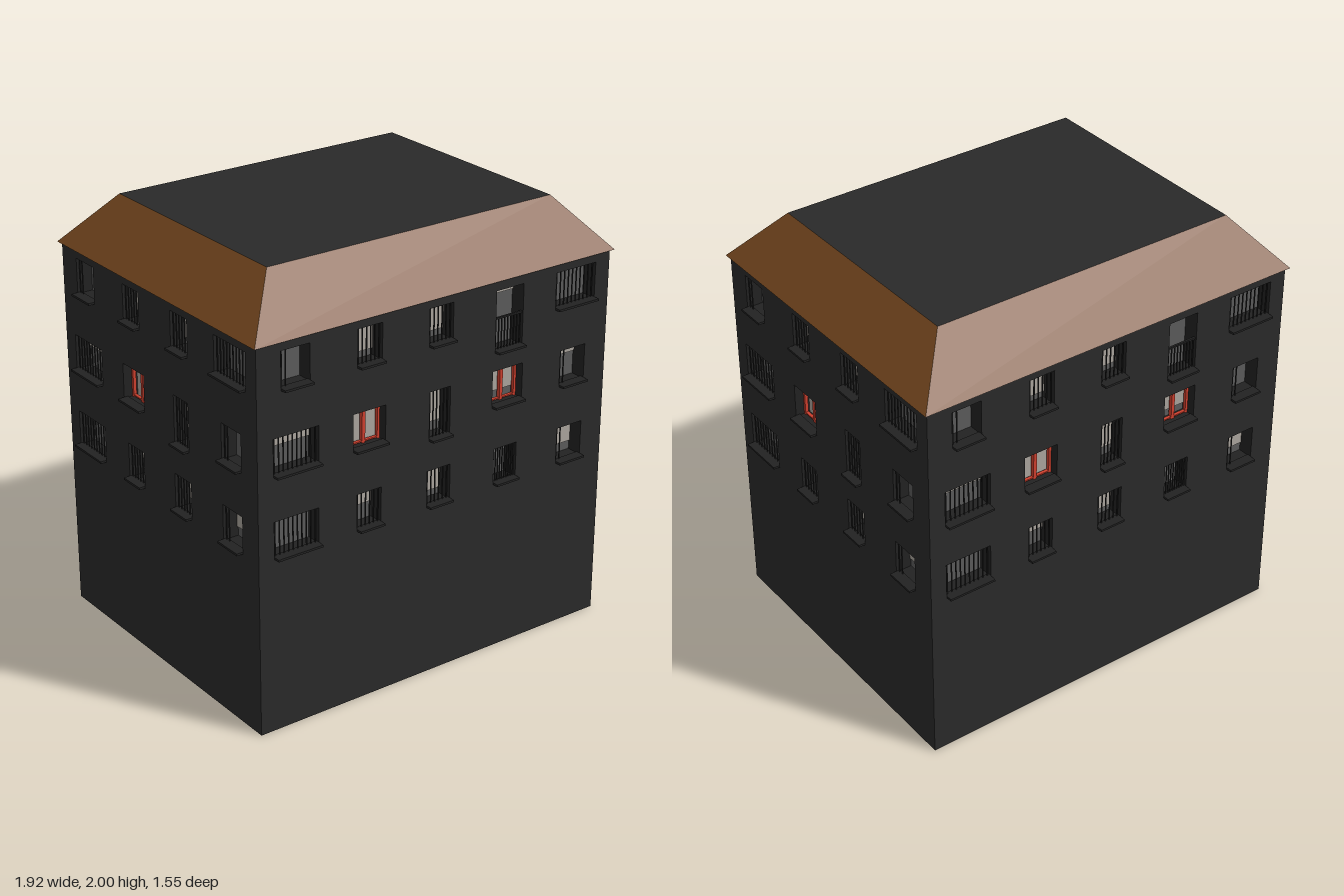
import * as THREE from 'three';

const mat = (color, side = THREE.FrontSide) => new THREE.MeshStandardMaterial({ color, side });
const wallMat = mat(0x2a2a2a, THREE.DoubleSide);
const darkMat = mat(0x222222);
const paneMat = mat(0x5c5c5c);
const shadeMat = mat(0xaca69e);
const redMat = mat(0xd0402e);
const roofMat = mat(0x7a4a20, THREE.DoubleSide);

const HX = 0.93, HZ = 0.745, EAVE = 1.77, TOP = 2, DEPTH = 0.08;

function box(parent, name, material, w, h, d, x, y, z) {
  const m = new THREE.Mesh(new THREE.BoxGeometry(w, h, d), material);
  m.name = name;
  m.position.set(x, y, z);
  parent.add(m);
}

function rectPath(PathClass, x0, x1, y0, y1) {
  return new PathClass([[x0, y0], [x1, y0], [x1, y1], [x0, y1]].map(p => new THREE.Vector2(...p)));
}

// Window kinds: width, bottom offset, top offset (from the row's sill), bar count
const kinds = {
  wide: { w: 0.225, y0: 0, y1: 0.165, bars: 10 },
  small: { w: 0.127, y0: 0, y1: 0.165, bars: 6 },
  plain: { w: 0.143, y0: 0, y1: 0.165, bars: 2 },
  red: { w: 0.167, y0: 0, y1: 0.165, bars: 0 },
  tall: { w: 0.112, y0: -0.06, y1: 0.16, bars: 6 },
  balcony: { w: 0.15, y0: -0.117, y1: 0.16, bars: 9 },
  curtain: { w: 0.127, y0: 0, y1: 0.165, bars: 10 },
};

// Rows from below: sill height and, per column, [kind, drawn part of the shade]
const rows = [
  { y: 0.817, cols: [['wide', 0.2], ['small', 0.55], ['small', 0.82], ['curtain', 0], ['plain', 0.74]] },
  { y: 1.187, cols: [['wide', 0.42], ['red', 1], ['tall', 0.8], ['red', 0.78], ['plain', 0.33]] },
  { y: 1.558, cols: [['plain', 0], ['small', 0.82], ['small', 0.82], ['balcony', 0.16], ['wide', 0]] },
];

function makeWindow(kind, shade) {
  const { w, y0, y1, bars } = kinds[kind];
  const g = new THREE.Group();
  g.name = kind + 'Window';
  const h = y1 - y0, mid = (y0 + y1) / 2, t = 0.004;

  // reveal: a ring running inwards from the wall
  const ring = rectPath(THREE.Shape, -w / 2 - t, w / 2 + t, y0 - t, y1 + t);
  ring.holes.push(rectPath(THREE.Path, -w / 2, w / 2, y0, y1));
  const reveal = new THREE.Mesh(
    new THREE.ExtrudeGeometry(ring, { depth: DEPTH, bevelEnabled: false }), darkMat);
  reveal.name = 'reveal';
  reveal.position.z = -DEPTH - 0.001;
  g.add(reveal);

  // pane and the shade drawn down in front of it
  box(g, 'pane', paneMat, w + 2 * t, h + 2 * t, 0.01, 0, mid, -DEPTH);
  if (shade > 0) box(g, 'shade', shadeMat, w, h * shade, 0.004, 0, y1 - h * shade / 2, -DEPTH + 0.008);

  // projecting sill
  box(g, 'sill', darkMat, w, 0.01, 0.05, 0, y0, 0.005);

  // upright bars; on the balcony only the lower half
  const barH = kind === 'balcony' ? h * 0.53 : h;
  for (let i = 0; i < bars; i++) {
    const x = kind === 'plain' ? -w / 2 + 0.02 * (i + 0.5) : -w / 2 + w * (i + 0.5) / bars;
    box(g, 'bar', darkMat, 0.0045, barH, 0.0045, x, y0 + barH / 2, -0.012);
  }
  if (kind === 'balcony') box(g, 'rail', darkMat, w, 0.008, 0.01, 0, y0 + barH, -0.012);

  // painted casement with two leaves
  if (kind === 'red') {
    const f = 0.012, z = -0.05;
    for (const s of [-1, 1]) {
      box(g, 'frameSide', redMat, f, h, 0.015, s * (w - f) / 2, mid, z);
      box(g, 'frameRail', redMat, w, s > 0 ? f : 0.006, 0.015, 0, s > 0 ? y1 - f / 2 : y0 + 0.008, z);
    }
    box(g, 'frameMiddle', redMat, 0.016, h, 0.018, 0, mid, z);
  }
  return g;
}

// One wall with its windows, facing +z; columns picks which columns are used
function makeFacade(halfWidth, columns, pitch) {
  const g = new THREE.Group();
  const shape = rectPath(THREE.Shape, -halfWidth, halfWidth, 0, EAVE);
  for (const row of rows) {
    columns.forEach((c, i) => {
      const [kind, shade] = row.cols[c];
      const k = kinds[kind];
      const x = (i - (columns.length - 1) / 2) * pitch;
      shape.holes.push(rectPath(THREE.Path, x - k.w / 2, x + k.w / 2, row.y + k.y0, row.y + k.y1));
      const win = makeWindow(kind, shade);
      win.position.set(x, row.y, 0);
      g.add(win);
    });
  }
  const wall = new THREE.Mesh(new THREE.ShapeGeometry(shape), wallMat);
  wall.name = 'wall';
  g.add(wall);
  return g;
}

// Sloping roof skirt between the eaves and the flat top
function makeRoof() {
  const g = new THREE.Group();
  g.name = 'roof';
  const signs = [[-1, 1], [1, 1], [1, -1], [-1, -1]];
  const low = signs.map(([a, b]) => [a * 0.945, EAVE - 0.005, b * 0.76]);
  const high = signs.map(([a, b]) => [a * 0.742, TOP, b * 0.556]);
  const pos = [];
  for (let i = 0; i < 4; i++) {
    const j = (i + 1) % 4;
    pos.push(...low[i], ...low[j], ...high[j], ...low[i], ...high[j], ...high[i]);
  }
  const geo = new THREE.BufferGeometry();
  geo.setAttribute('position', new THREE.Float32BufferAttribute(pos, 3));
  geo.computeVertexNormals();
  const skirt = new THREE.Mesh(geo, roofMat);
  skirt.name = 'roofSlopes';
  g.add(skirt);

  const cap = new THREE.Mesh(new THREE.PlaneGeometry(1.484, 1.112), wallMat);
  cap.name = 'flatTop';
  cap.rotation.x = -Math.PI / 2;
  cap.position.y = TOP;
  g.add(cap);
  return g;
}

export function createModel() {
  const model = new THREE.Group();
  model.name = 'building';
  const names = ['frontFacade', 'leftFacade', 'backFacade', 'rightFacade'];
  names.forEach((name, i) => {
    const side = i % 2 === 1;
    const facade = side ? makeFacade(HZ, [0, 1, 2, 4], 0.372) : makeFacade(HX, [0, 1, 2, 3, 4], 0.37);
    facade.name = name;
    facade.rotation.y = i * Math.PI / 2;
    facade.translateZ(side ? HX : HZ);
    model.add(facade);
  });
  model.add(makeRoof());
  return model;
}
